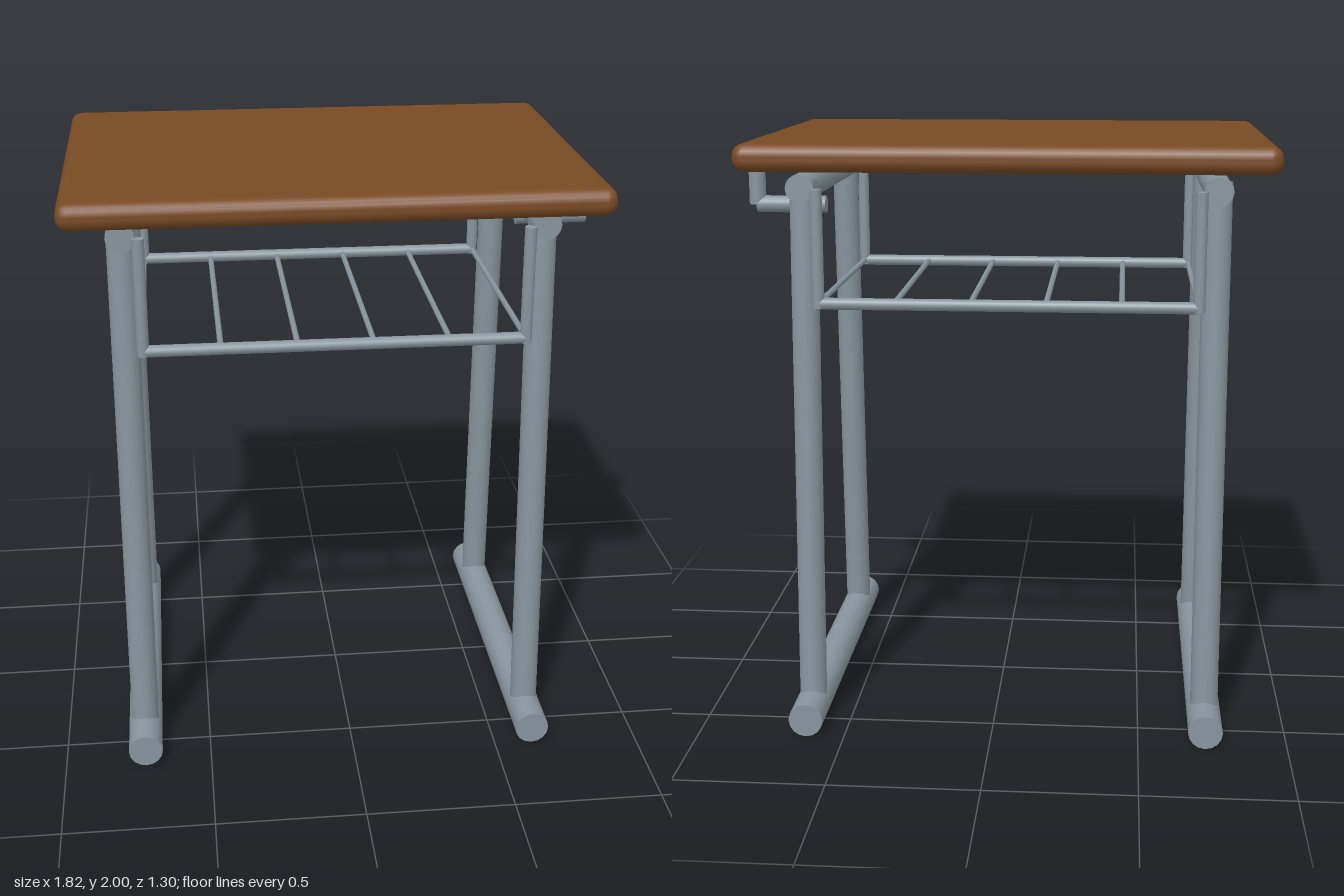
import * as THREE from 'three';
import { RoundedBoxGeometry } from 'three/addons/geometries/RoundedBoxGeometry.js';

const CX = -0.0475; // mid-plane of the desk; the side hook offsets it from x = 0

export function createModel() {
  const desk = new THREE.Group();
  desk.name = 'schoolDesk';

  const wood = new THREE.MeshStandardMaterial({ color: 0x7a4a24 });
  wood.name = 'brown wood';
  const steel = new THREE.MeshStandardMaterial({ color: 0x87959d });
  steel.name = 'grey steel';

  // Straight round bar between two points
  function bar(name, radius, from, to, sides = 16) {
    const a = new THREE.Vector3(...from);
    const b = new THREE.Vector3(...to);
    const dir = b.clone().sub(a);
    const mesh = new THREE.Mesh(new THREE.CylinderGeometry(radius, radius, dir.length(), sides), steel);
    mesh.position.copy(a).add(b).multiplyScalar(0.5);
    mesh.quaternion.setFromUnitVectors(new THREE.Vector3(0, 1, 0), dir.normalize());
    mesh.name = name;
    desk.add(mesh);
  }

  // Table top with rounded edges
  const top = new THREE.Mesh(new RoundedBoxGeometry(1.73, 0.09, 1.29, 2, 0.04), wood);
  top.position.set(CX, 1.955, 0);
  top.name = 'tableTop';
  desk.add(top);

  // Side frames: foot, upper rail and two splayed legs
  for (const side of [-1, 1]) {
    const x = CX + side * 0.6775;
    bar('foot', 0.058, [x, 0.058, -0.65], [x, 0.058, 0.65]);
    bar('upperRail', 0.047, [x, 1.845, -0.485], [x, 1.845, 0.485]);
    for (const end of [-1, 1]) {
      bar('leg', 0.047, [x, 0.08, end * 0.49], [x, 1.87, end * 0.407]);
      // Hanger posts of the shelf rack
      const px = CX + side * 0.6225;
      bar('rackPost', 0.02, [px, 1.455, end * 0.49], [px, 1.845, end * 0.49], 12);
    }
  }

  // Shelf rack: front and back rails joined by thin rods
  const rackHalf = 0.6225;
  for (const end of [-1, 1]) {
    bar('rackRail', 0.02, [CX - rackHalf, 1.47, end * 0.49], [CX + rackHalf, 1.47, end * 0.49], 12);
  }
  const rods = 6;
  for (let i = 0; i < rods; i++) {
    const x = CX - rackHalf + (2 * rackHalf * i) / (rods - 1);
    bar('rackRod', 0.01, [x, 1.47, -0.49], [x, 1.47, 0.49], 8);
  }

  // Bag hook on the left side
  bar('hookArm', 0.03, [0.63, 1.74, 0], [0.876, 1.74, 0]);
  bar('hookTip', 0.03, [0.876, 1.74, 0], [0.876, 1.875, 0]);

  return desk;
}
